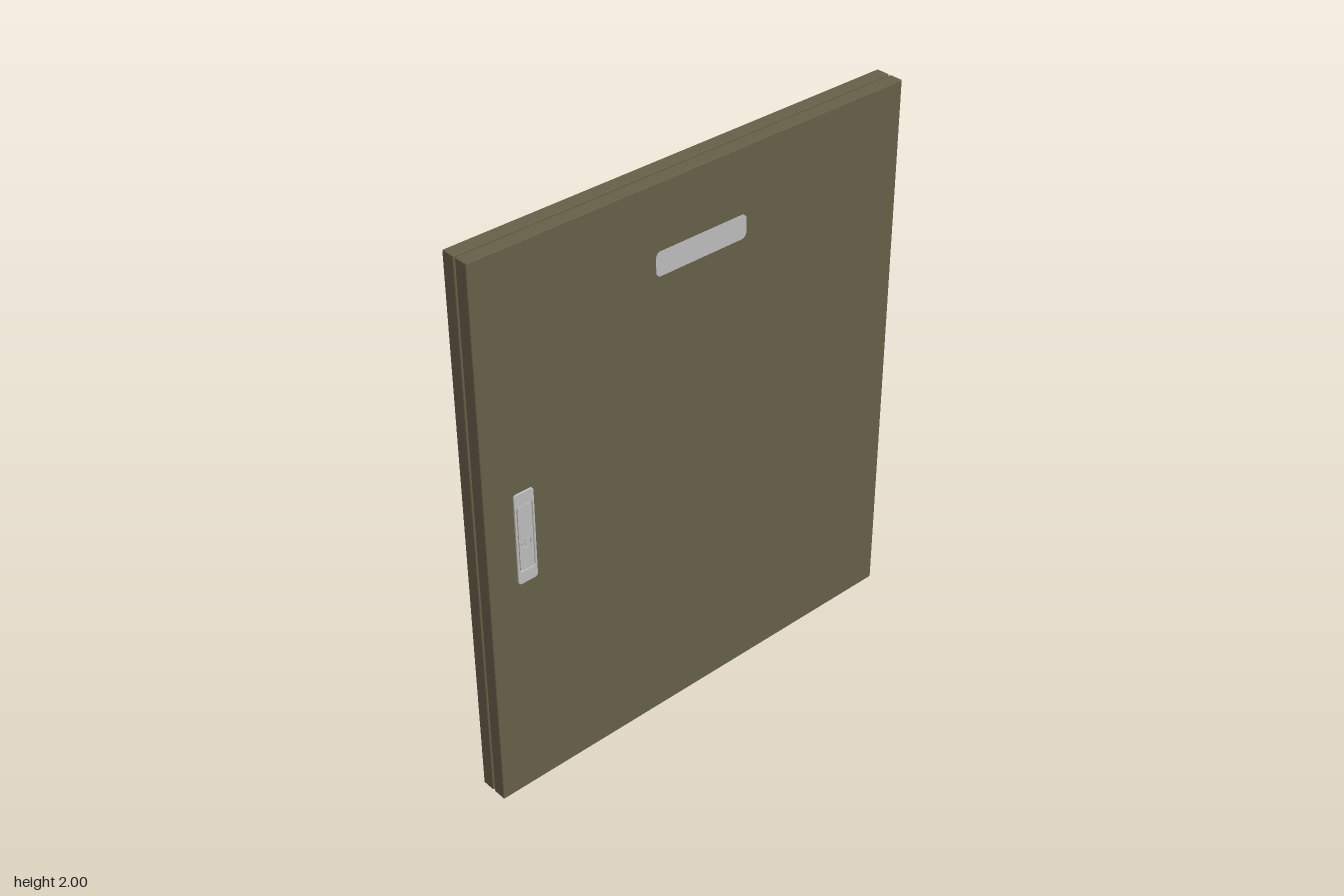
import * as THREE from 'three';

const olive = new THREE.MeshStandardMaterial({ name: 'olivePaint', color: 0x665f48 });
const grey = new THREE.MeshStandardMaterial({ name: 'lightGreyMetal', color: 0xbcbcbc });

// Rounded rectangle outline centred on the origin
function roundedRect(w, h, r, Path = THREE.Shape) {
  const x = w / 2 - r, y = h / 2 - r;
  const p = new Path();
  p.absarc(x, y, r, 0, Math.PI / 2);
  p.absarc(-x, y, r, Math.PI / 2, Math.PI);
  p.absarc(-x, -y, r, Math.PI, Math.PI * 1.5);
  p.absarc(x, -y, r, Math.PI * 1.5, Math.PI * 2);
  p.closePath();
  return p;
}

// Plate spanning z0..z1, with chamfered edges kept inside the outline
function plate(name, shape, z0, z1, material, bevel = 0) {
  const geo = new THREE.ExtrudeGeometry(shape, {
    depth: z1 - z0 - 2 * bevel, curveSegments: 6, bevelEnabled: bevel > 0,
    bevelThickness: bevel, bevelSize: bevel, bevelOffset: -bevel, bevelSegments: 1,
  });
  geo.translate(0, 0, z0 + bevel);
  const mesh = new THREE.Mesh(geo, material);
  mesh.name = name;
  return mesh;
}

export function createModel() {
  const model = new THREE.Group();
  model.name = 'door';
  const W = 1.714, H = 2, BACK = -0.056, FRONT = 0.05, SEAM = -0.003;

  // Two door skins with a narrow recessed seam between them
  const skin = (name, z0, z1) => {
    const m = plate(name, roundedRect(W, H, 0.003), z0, z1, olive, 0.002);
    m.position.y = H / 2;
    model.add(m);
  };
  skin('backSkin', BACK, SEAM - 0.004);
  skin('frontSkin', SEAM + 0.004, FRONT);
  const core = new THREE.Mesh(new THREE.BoxGeometry(W - 0.016, H - 0.016, 0.02), olive);
  core.name = 'seamCore';
  core.position.set(0, H / 2, SEAM);
  model.add(core);

  // Name plate, almost flush with the front
  const namePlate = plate('namePlate', roundedRect(0.366, 0.084, 0.02), FRONT - 0.002, FRONT + 0.0015, grey);
  namePlate.position.set(0.004, 1.73, 0);
  model.add(namePlate);

  // Lock handle: chamfered frame, inset lever and cylinder
  const handle = new THREE.Group();
  handle.name = 'lockHandle';
  handle.position.set(-0.712, 1.003, 0);
  model.add(handle);

  const frame = roundedRect(0.075, 0.337, 0.012);
  frame.holes.push(roundedRect(0.059, 0.243, 0.007, THREE.Path));
  handle.add(plate('handleFrame', frame, FRONT - 0.001, 0.056, grey, 0.0015));
  const lockY = -0.02;
  const lever = roundedRect(0.054, 0.238, 0.006);
  lever.holes.push(new THREE.Path().absarc(0, lockY, 0.0185, 0, Math.PI * 2));
  handle.add(plate('handleLever', lever, FRONT - 0.001, 0.0555, grey));
  handle.add(plate('handleBase', roundedRect(0.064, 0.25, 0.006), FRONT - 0.001, 0.0515, grey));

  // Lock cylinder with a raised cross
  const lock = new THREE.Group();
  lock.name = 'lockCylinder';
  lock.position.y = lockY;
  handle.add(lock);
  const core2 = new THREE.Shape().absarc(0, 0, 0.0165, 0, Math.PI * 2);
  lock.add(plate('cylinderFace', core2, FRONT, 0.0535, grey));
  for (const [w, h] of [[0.024, 0.004], [0.004, 0.024]]) {
    const bar = new THREE.Mesh(new THREE.BoxGeometry(w, h, 0.003), grey);
    bar.name = 'crossBar';
    bar.position.z = 0.0537;
    lock.add(bar);
  }
  return model;
}
